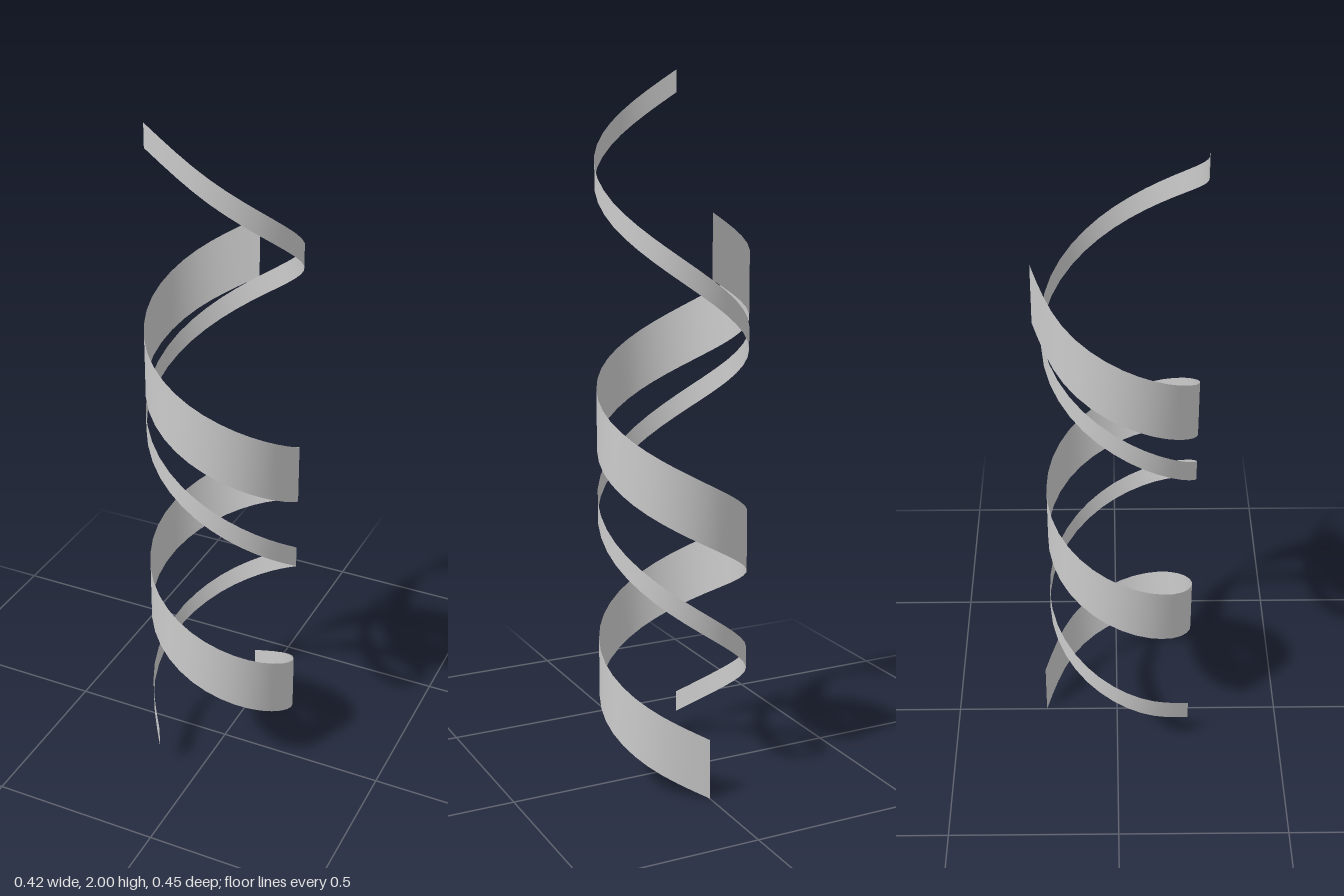
import * as THREE from 'three';

const RADIUS = 0.235;   // radius of the control helix
const CENTRE_Z = 0.0115;
const STEPS = 16;       // eight control points per turn, two turns
const SUB = 4;          // divisions between control points

// Point on a uniform cubic B-spline through four control points
function spline(a, b, c, d, t) {
  const s = 1 - t;
  return new THREE.Vector3()
    .addScaledVector(a, s * s * s / 6)
    .addScaledVector(b, (3 * t * t * t - 6 * t * t + 4) / 6)
    .addScaledVector(c, (-3 * t * t * t + 3 * t * t + 3 * t + 1) / 6)
    .addScaledVector(d, t * t * t / 6);
}

// Lower edge of a ribbon: a coarse helix, smoothed but keeping its end points
function helixEdge(startDegrees, y0, y1) {
  const pts = [];
  for (let i = 0; i <= STEPS; i++) {
    const a = THREE.MathUtils.degToRad(startDegrees + i * 45);
    pts.push(new THREE.Vector3(
      RADIUS * Math.sin(a),
      y0 + (y1 - y0) * i / STEPS,
      CENTRE_Z - RADIUS * Math.cos(a)));
  }
  const mirrorEnd = (p, q) => p.clone().multiplyScalar(2).sub(q);
  const ctrl = [mirrorEnd(pts[0], pts[1]), ...pts, mirrorEnd(pts[STEPS], pts[STEPS - 1])];
  const out = [];
  for (let i = 0; i < STEPS; i++) {
    for (let k = 0; k < SUB; k++) {
      out.push(spline(ctrl[i], ctrl[i + 1], ctrl[i + 2], ctrl[i + 3], k / SUB));
    }
  }
  out.push(pts[STEPS]);
  return out;
}

// Upright strip of constant height standing on the helix edge
function ribbon(name, startDegrees, y0, y1, height) {
  const positions = [], index = [];
  helixEdge(startDegrees, y0, y1).forEach((p, i) => {
    positions.push(p.x, p.y, p.z, p.x, p.y + height, p.z);
    if (i > 0) {
      const a = 2 * i - 2;
      index.push(a, a + 1, a + 2, a + 1, a + 3, a + 2);
    }
  });
  const geometry = new THREE.BufferGeometry();
  geometry.setAttribute('position', new THREE.Float32BufferAttribute(positions, 3));
  geometry.setIndex(index);
  geometry.computeVertexNormals();
  const mesh = new THREE.Mesh(geometry,
    new THREE.MeshStandardMaterial({ color: 0xcccccc, side: THREE.DoubleSide }));
  mesh.name = name;
  return mesh;
}

export function createModel() {
  const group = new THREE.Group();
  group.name = 'spiralRibbons';
  group.add(ribbon('wideRibbon', 0, 0, 1.455, 0.175));
  group.add(ribbon('narrowRibbon', 209, 0.08, 1.937, 0.063));
  return group;
}
